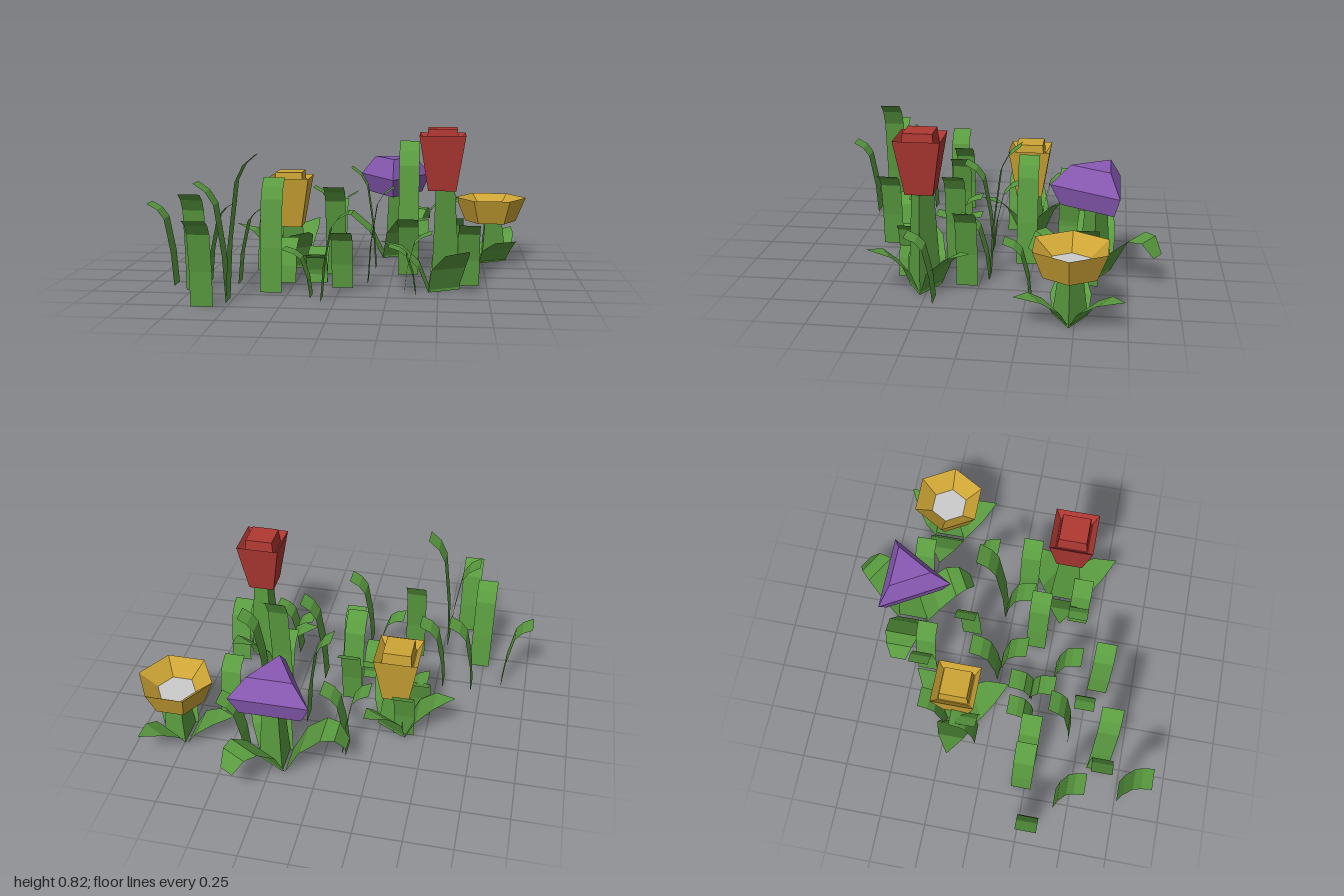
import * as THREE from 'three';

const mat = (color) => new THREE.MeshStandardMaterial({ color, flatShading: true, side: THREE.DoubleSide });
const green = mat(0x5a9c40), red = mat(0xb03832), yellow = mat(0xcda435), purple = mat(0x8a5ab5), grey = mat(0xcccccc);

// Thin strip running along +x; each row is [distance, height, halfWidth]
function strip(rows) {
  const pos = [], idx = [];
  rows.forEach(([r, y, w], i) => {
    pos.push(r, y, w, r, y, -w);
    if (i) {
      const a = 2 * i - 2;
      idx.push(a, a + 2, a + 1, a + 1, a + 2, a + 3);
    }
  });
  const g = new THREE.BufferGeometry();
  g.setAttribute('position', new THREE.Float32BufferAttribute(pos, 3));
  g.setIndex(idx);
  g.computeVertexNormals();
  return g;
}

// Faceted solid: profile of [radius, height] turned around with few sides
function turned(name, profile, sides, phase, material) {
  const pts = profile.map(([r, y]) => new THREE.Vector2(r, y));
  const mesh = new THREE.Mesh(new THREE.LatheGeometry(pts, sides, phase), material);
  mesh.name = name;
  return mesh;
}

// Three-sided stem with three leaves folding out from its base
function plant(name, x, z, stemTop, leafRows) {
  const g = new THREE.Group();
  g.name = name;
  g.position.set(x, 0, z);
  g.add(turned('stem', [[0, 0], [0.098, 0], [0.064, stemTop]], 3, Math.PI / 2, green));
  const leaf = strip(leafRows);
  for (let i = 0; i < 3; i++) {
    const m = new THREE.Mesh(leaf, green);
    m.name = 'leaf';
    m.position.x = -0.013;
    m.rotation.y = Math.PI + i * Math.PI * 2 / 3;
    g.add(m);
  }
  return g;
}

const pointedLeaf = (h) => [[0.05, 0, 0.088], [0.1, h * 0.5, 0.099], [0.19, h * 0.86, 0.07], [0.295, h, 0.001]];
const droopingLeaf = [[0.05, 0, 0.088], [0.13, 0.16, 0.104], [0.24, 0.255, 0.093], [0.31, 0.255, 0.073], [0.365, 0.18, 0.042]];

// Square cup with a raised core
function squareBloom(y0, y1, material) {
  const g = new THREE.Group(), s = Math.SQRT2;
  g.name = 'bloom';
  g.add(turned('cup', [[0, y0], [0.07 * s, y0], [0.115 * s, y1], [0.085 * s, y1 - 0.05], [0, y1 - 0.05]], 4, Math.PI / 4, material));
  g.add(turned('core', [[0.08 * s, y1 - 0.05], [0.073 * s, y1 + 0.03], [0, y1 + 0.03]], 4, Math.PI / 4, material));
  return g;
}

// Grass: [centre x, centre z, height, reach], grouped by the way the tips bend
const grass = [
  { turn: -Math.PI / 2, blades: [ // toward the front
    [-0.725, 0.49, 0.51], [-0.618, 0.83, 0.435], [-0.055, 0.063, 0.5, 0.155], [-0.135, 0.25, 0.17],
    [0.01, 0.37, 0.31], [0.335, 0.037, 0.33, 0.157], [0.657, 0.267, 0.34], [0.58, -0.205, 0.3]] },
  { turn: Math.PI / 2, blades: [ // toward the back
    [0.335, -0.122, 0.72, 0.157], [-0.34, 0.375, 0.57], [-0.3, 0.15, 0.22], [-0.135, 0.13, 0.17],
    [-0.055, -0.093, 0.4, 0.155], [-0.445, -0.14, 0.31], [-0.385, -0.32, 0.35]] },
  { turn: Math.PI, blades: [ // toward -x
    [-0.932, 0.3, 0.43], [-0.195, 0.495, 0.24], [0.08, -0.215, 0.57], [-0.595, 0.625, 0.58, 0.15],
    [-0.16, -0.425, 0.43], [0.32, 0.375, 0.24], [-0.42, -0.12, 0.31]] },
  { turn: 0, blades: [ // toward +x
    [-0.625, 0.23, 0.43, 0.15], [-0.465, 0.23, 0.41, 0.15], [-0.445, 0.625, 0.72, 0.15], [0, 0.555, 0.435], [0.2, 0.165, 0.51],
    [0.535, 0.06, 0.435], [0.47, -0.545, 0.35], [-0.045, -0.425, 0.4], [0.4, 0.375, 0.31]] },
];

export function createModel() {
  const model = new THREE.Group();
  model.name = 'flowerPatch';

  // Grass blades: steep at the base, bending over at the tip
  const bend = [[-0.5, 0], [-0.4, 0.4], [-0.15, 0.82], [0.11, 0.93], [0.5, 1]];
  for (const { turn, blades } of grass) {
    for (const [x, z, h, reach = 0.137] of blades) {
      const blade = new THREE.Mesh(strip(bend.map(([r, t]) => [r * reach, t * h, 0.055])), green);
      blade.name = 'grassBlade';
      blade.position.set(x, 0, z);
      blade.rotation.y = turn;
      model.add(blade);
    }
  }

  // Tall red flower
  const redFlower = plant('redFlower', 0.515, 0.278, 0.52, pointedLeaf(0.245));
  redFlower.add(squareBloom(0.515, 0.795, red));

  // Yellow flower with a square cup
  const yellowFlower = plant('yellowFlower', -0.333, -0.191, 0.26, pointedLeaf(0.245));
  yellowFlower.add(squareBloom(0.24, 0.515, yellow));

  // Open six-sided flower with a pale centre
  const openFlower = plant('openFlower', 0.795, -0.475, 0.24, pointedLeaf(0.16));
  openFlower.add(
    turned('petalCup', [[0, 0.235], [0.145, 0.235], [0.201, 0.372], [0.104, 0.295]], 6, Math.PI / 2, yellow),
    turned('flowerCentre', [[0.104, 0.295], [0, 0.295]], 6, Math.PI / 2, grey));

  // Three-sided purple flower over drooping leaves
  const purpleFlower = plant('purpleFlower', 0.233, -0.577, 0.38, droopingLeaf);
  purpleFlower.add(turned('bloom', [[0, 0.375], [0.185, 0.375], [0.238, 0.48], [0.135, 0.59], [0, 0.59]], 3, 0, purple));

  model.add(redFlower, yellowFlower, openFlower, purpleFlower);
  return model;
}
